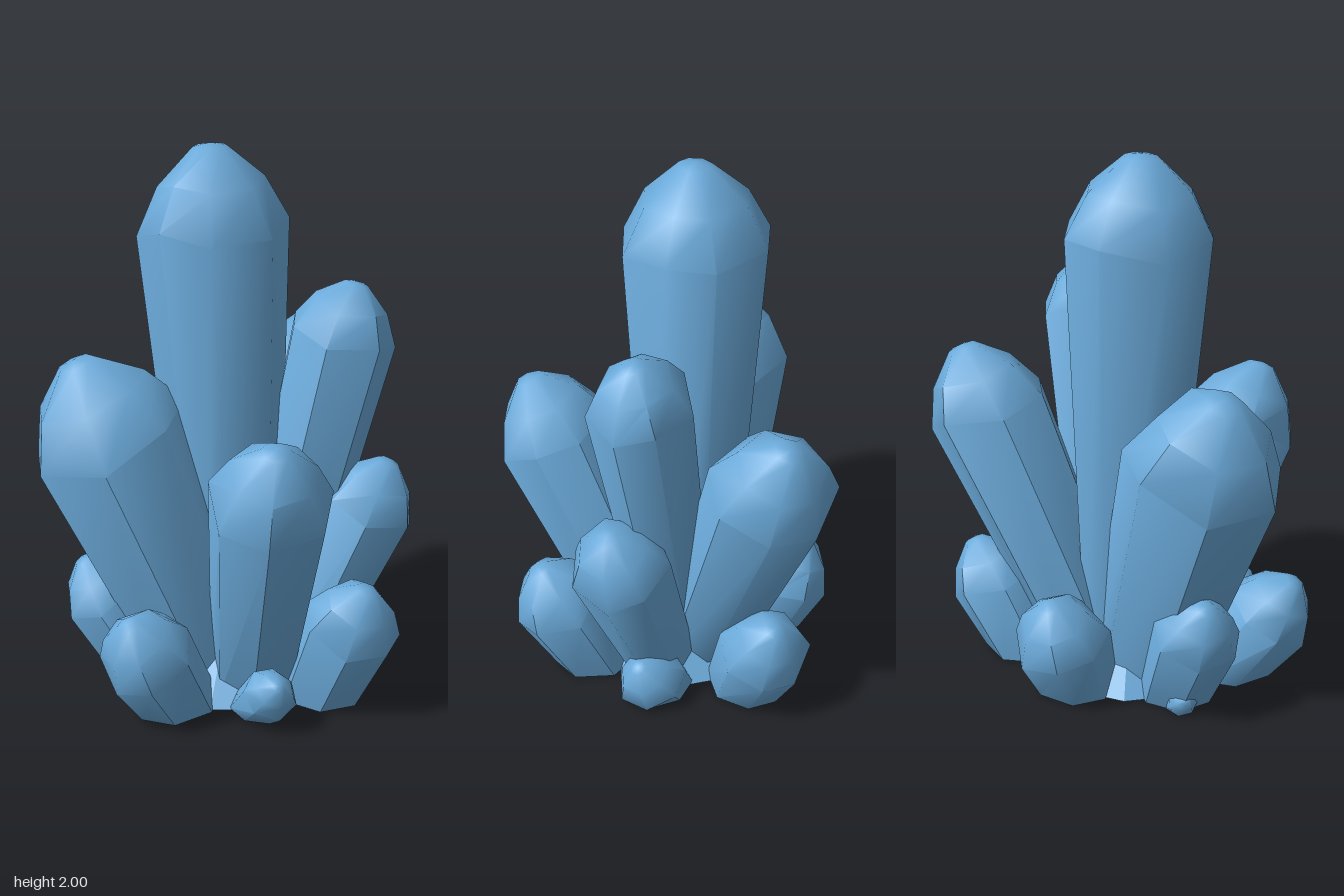
import * as THREE from 'three';
import { toCreasedNormals } from 'three/addons/utils/BufferGeometryUtils.js';

const crystalBlue = new THREE.MeshStandardMaterial({ color: 0x6baada });
crystalBlue.name = 'crystalBlue';

// Small seeded generator from -1 to 1 for uneven facets
function seeded(seed) {
  let s = seed * 7919 + 17;
  return () => ((s = (s * 16807) % 2147483647) / 2147483647) * 2 - 1;
}

// Faceted prism that widens from its foot to a shoulder, then closes to a blunt tip
function crystalGeometry(tip, foot, r, roll, sides, taper, seed) {
  const rand = seeded(seed);
  rand();
  const axis = tip.clone().sub(foot).normalize();
  const shoulder = tip.clone().addScaledVector(axis, -1.07 * r);
  const u = new THREE.Vector3(0, 0, 1).addScaledVector(axis, -axis.z).normalize();
  const v = axis.clone().cross(u);

  const corners = [];
  for (let i = 0; i < sides; i++) {
    corners.push({
      angle: roll + (i / sides) * Math.PI * 2 + rand() * 0.08,
      reach: r * (1.02 + rand() * 0.03),
      lift: r * rand() * 0.15,
    });
  }
  const ring = (centre, scale, lift) => corners.map((c) => centre.clone()
    .addScaledVector(u, Math.cos(c.angle) * c.reach * scale)
    .addScaledVector(v, Math.sin(c.angle) * c.reach * scale)
    .addScaledVector(axis, c.lift * lift));

  const rings = [
    // Foot corners slide along the axis until they meet the ground
    ring(foot, taper, 0).map((p) => p.addScaledVector(axis, -p.y / axis.y)),
    ring(shoulder, 1, 1),
    ring(shoulder.clone().lerp(tip, 0.55), 0.7, 0.5),
    ring(shoulder.clone().lerp(tip, 0.96), 0.22, 0),
  ];
  const footIndex = rings.length * sides;
  const last = footIndex - sides;
  const index = [];
  for (let i = 0; i < sides; i++) {
    const n = (i + 1) % sides;
    for (let lo = 0; lo < last; lo += sides) {
      const hi = lo + sides;
      index.push(lo + i, lo + n, hi + n, lo + i, hi + n, hi + i);
    }
    index.push(footIndex, n, i, footIndex + 1, last + i, last + n);
  }
  const geometry = new THREE.BufferGeometry().setFromPoints([...rings.flat(), foot, tip]);
  geometry.setIndex(index);
  return toCreasedNormals(geometry, 0.88);
}

// Each crystal: name, tip x y z, foot x z, radius at the shoulder, roll
const mainCrystal = [['mainCrystal', -0.07, 2, 0.045, 0.01, 0.0, 0.265, 0.3]];

const tallCrystals = [
  ['leftFrontCrystal', -0.49, 1.26, 0.31, -0.05, 0.08, 0.29, 0.2],
  ['rightFrontCrystal', 0.31, 1.09, 0.54, 0.12, 0.14, 0.22, 0.3],
  ['rightBackCrystal', 0.42, 1.5, -0.13, 0.1, -0.04, 0.19, 0],
  ['backCrystal', 0.15, 1.24, -0.6, 0.04, -0.1, 0.23, 0.45],
  ['rightSideCrystal', 0.56, 0.84, -0.12, 0.23, -0.06, 0.185, 0.2],
];

const shortCrystals = [
  ['shortRightCrystal', 0.57, 0.49, 0.25, 0.38, 0.15, 0.175, 0.2],
  ['shortFrontCrystal', -0.2, 0.42, 0.62, -0.1, 0.38, 0.17, 0.3],
  ['shortBackLeftCrystal', -0.33, 0.41, -0.3, -0.19, -0.19, 0.18, 0.1],
  ['shortBackCrystal', 0.17, 0.44, -0.58, 0.1, -0.38, 0.17, 0.45],
  ['shortLeftCrystal', -0.5, 0.48, 0.26, -0.26, 0.17, 0.16, 0.2],
  ['frontShard', 0.32, 0.2, 0.51, 0.18, 0.34, 0.095, 0],
  ['rightShard', 0.48, 0.2, -0.18, 0.34, -0.16, 0.13, 0.3],
  ['leftShard', -0.46, 0.08, 0.2, -0.36, 0.17, 0.055, 0],
];

export function createModel() {
  const group = new THREE.Group();
  group.name = 'crystalCluster';

  const addCrystals = (list, sides, taper) => {
    list.forEach(([name, x, y, z, footX, footZ, r, roll], i) => {
      const tip = new THREE.Vector3(x, y, z);
      const foot = new THREE.Vector3(footX, 0, footZ);
      const mesh = new THREE.Mesh(
        crystalGeometry(tip, foot, r, roll, sides, taper, i + sides), crystalBlue);
      mesh.name = name;
      group.add(mesh);
    });
  };
  addCrystals(mainCrystal, 8, 0.6);
  addCrystals(tallCrystals, 7, 0.72);
  addCrystals(shortCrystals, 7, 0.85);

  // Low mound joining the crystals at the ground
  const mound = new THREE.Mesh(
    toCreasedNormals(new THREE.CylinderGeometry(0.16, 0.37, 0.24, 11), 0.3), crystalBlue);
  mound.name = 'baseMound';
  mound.position.set(0.03, 0.12, 0.03);
  group.add(mound);

  return group;
}
